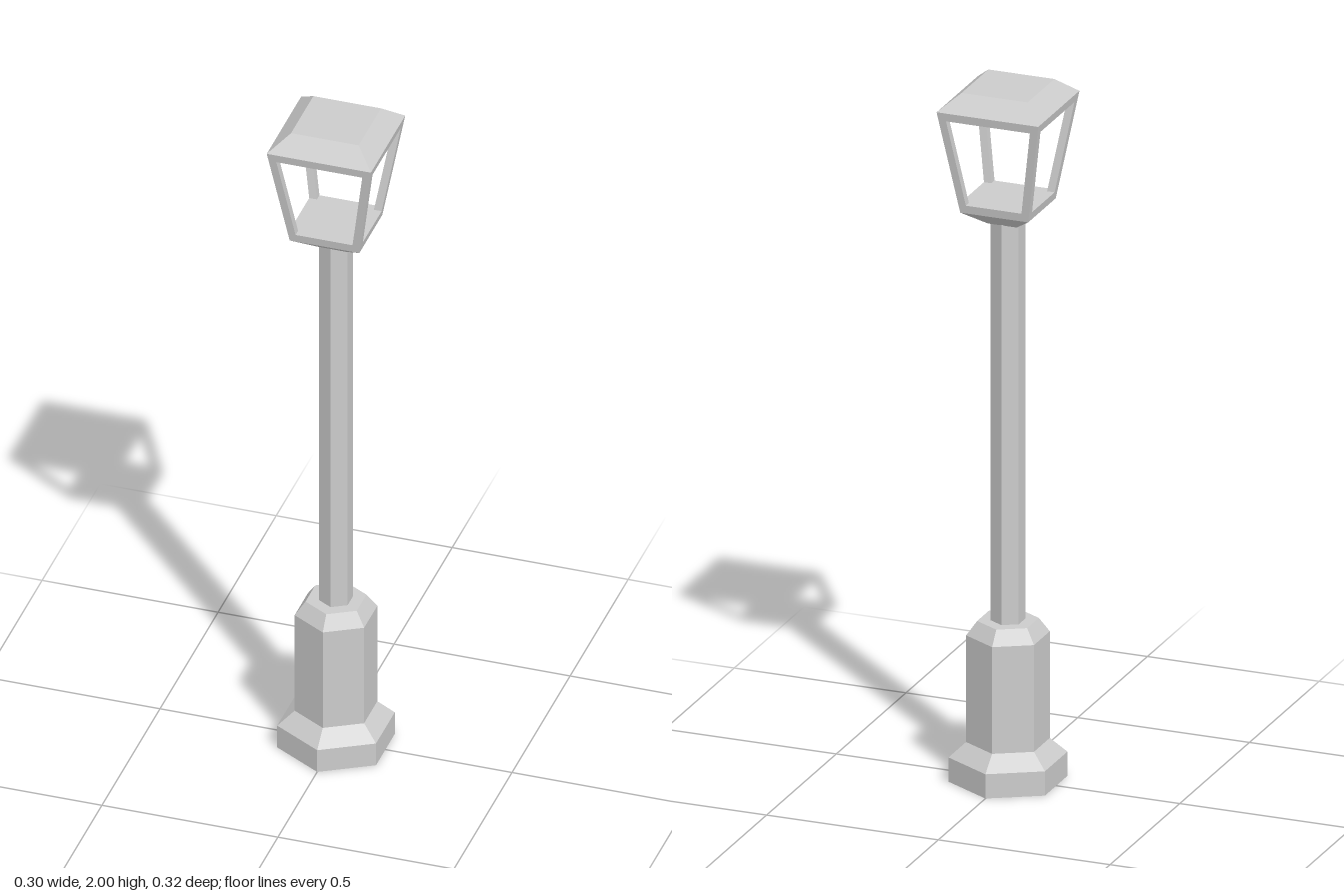
import * as THREE from 'three';

const material = new THREE.MeshStandardMaterial({ color: 0xcccccc, flatShading: true });

function part(name, geometry) {
  const mesh = new THREE.Mesh(geometry, material);
  mesh.name = name;
  return mesh;
}

// Six-sided turned part, corners towards front and back; profile is [radius, y] upwards
function hexTurned(name, profile) {
  return part(name, new THREE.LatheGeometry(profile.map(([r, y]) => new THREE.Vector2(r, y)), 6));
}

// Solid square frustum between heights y0 and y1 with the given half widths
function squareFrustum(name, h0, y0, h1, y1) {
  const g = new THREE.CylinderGeometry(h1 * Math.SQRT2, h0 * Math.SQRT2, y1 - y0, 4);
  g.rotateY(Math.PI / 4).translate(0, (y0 + y1) / 2, 0);
  return part(name, g);
}

// Heights and half widths of the lantern frame
const BOTTOM = 1.655, TOP = 1.955, RAIL = 0.024, POST = 0.022;
const frameHalf = (y) => 0.099 + (0.148 - 0.099) * (y - BOTTOM) / (TOP - BOTTOM);

// Slanted square post in the lantern corner given by the signs sx and sz
function cornerPost(sx, sz) {
  const y0 = BOTTOM + RAIL, y1 = TOP - RAIL;
  const g = new THREE.BoxGeometry(POST, y1 - y0, POST);
  g.translate(0, (y0 + y1) / 2, 0);
  const p = g.attributes.position;
  for (let i = 0; i < p.count; i++) {
    const offset = frameHalf(p.getY(i)) - POST / 2;
    p.setX(i, p.getX(i) + sx * offset);
    p.setZ(i, p.getZ(i) + sz * offset);
  }
  g.computeVertexNormals();
  return part('lanternPost', g);
}

export function createModel() {
  const model = new THREE.Group();
  model.name = 'streetLamp';

  // Stepped hexagonal foot and slim pole
  model.add(hexTurned('base', [
    [0, 0], [0.162, 0], [0.162, 0.07], [0.114, 0.112],
    [0.114, 0.42], [0.084, 0.46], [0, 0.46],
  ]));
  model.add(hexTurned('pole', [[0.047, 0.45], [0.047, 1.63]]));

  // Lantern: funnel, floor, four posts, top frame and roof
  const lantern = new THREE.Group();
  lantern.name = 'lantern';
  lantern.add(squareFrustum('lanternFunnel', 0.042, 1.612, frameHalf(BOTTOM), BOTTOM));
  lantern.add(squareFrustum('lanternFloor', frameHalf(BOTTOM), BOTTOM, frameHalf(BOTTOM + RAIL), BOTTOM + RAIL));
  for (const sx of [-1, 1]) for (const sz of [-1, 1]) lantern.add(cornerPost(sx, sz));
  lantern.add(squareFrustum('lanternTopFrame', frameHalf(TOP - RAIL), TOP - RAIL, frameHalf(TOP), TOP));
  lantern.add(squareFrustum('roof', frameHalf(TOP), TOP, 0.096, 2));
  model.add(lantern);

  return model;
}
